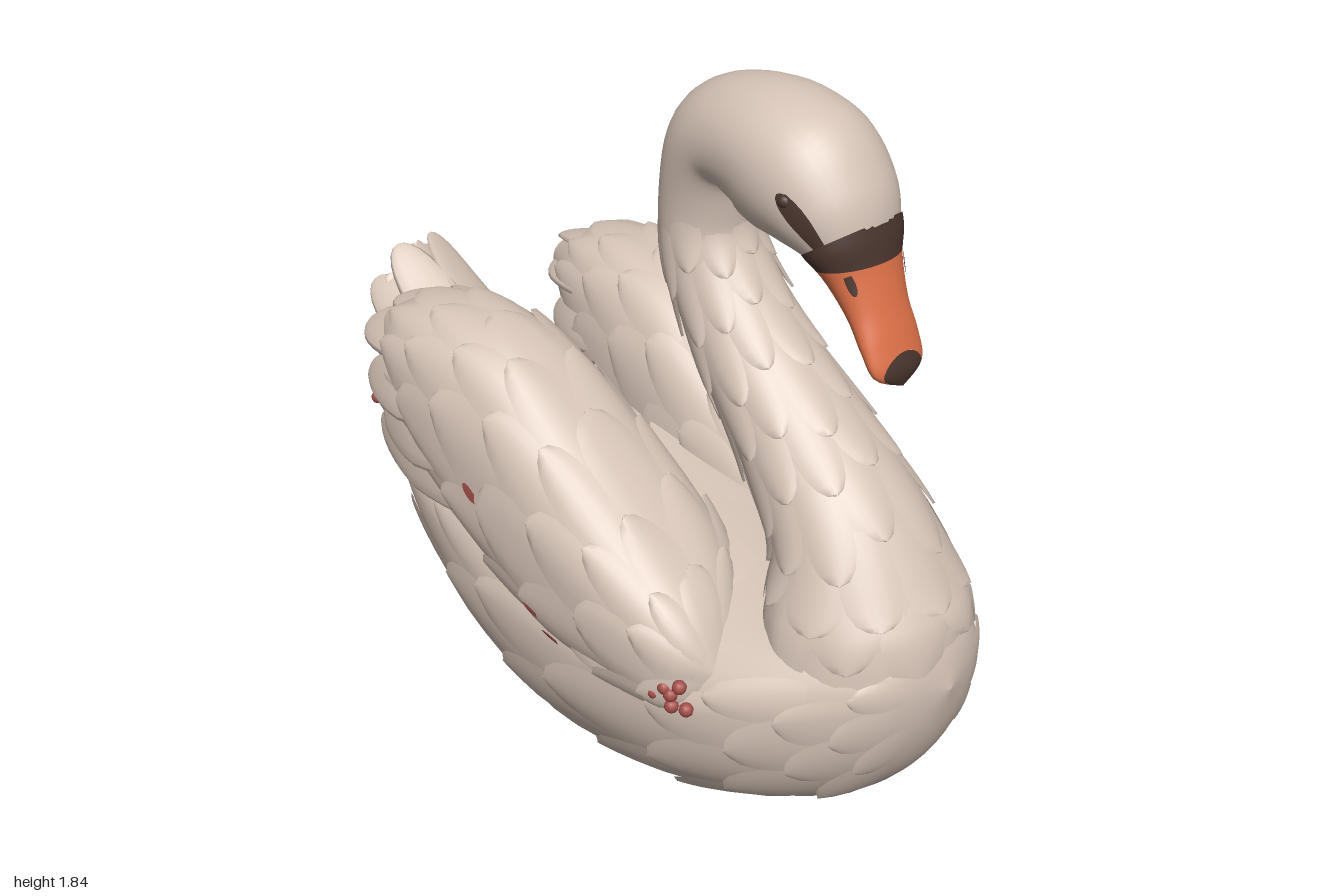
import * as THREE from 'three';
import { mergeGeometries } from 'three/addons/utils/BufferGeometryUtils.js';

const V = (x, y, z) => new THREE.Vector3(x, y, z);
const mat = (name, color) => new THREE.MeshStandardMaterial({ name, color, side: THREE.DoubleSide });

// Cross-sections: z, y, half height above, half height below, half width, x
const BODY = [
  [1.0, .5, 0, 0, 0, 0], [.965, .5, .12, .15, .13, 0], [.9, .48, .19, .26, .215, 0],
  [.78, .45, .23, .35, .31, 0], [.6, .42, .24, .405, .405, 0], [.35, .4, .28, .45, .46, 0],
  [0, .42, .32, .5, .47, 0], [-.3, .48, .3, .455, .435, 0], [-.6, .58, .24, .4, .34, 0],
  [-.8, .69, .17, .32, .22, 0], [-.92, .76, .18, .2, .155, 0], [-.965, .82, .16, .12, .11, 0],
  [-.98, .86, 0, 0, 0, 0],
];
const NECK = [
  [.74, .4, .2, .235, .28, 0], [.7, .62, .17, .265, .265, 0], [.66, .8, .17, .18, .205, 0],
  [.51, .98, .15, .15, .168, 0], [.33, 1.17, .13, .13, .143, 0], [.21, 1.36, .12, .12, .128, 0],
  [.195, 1.51, .12, .12, .128, 0], [.255, 1.65, .145, .115, .145, 0], [.39, 1.69, .15, .18, .166, 0],
  [.5, 1.65, .17, .175, .174, 0], [.59, 1.585, .135, .13, .157, 0], [.65, 1.515, .085, .08, .118, 0],
];
const BEAK = [
  [.605, 1.575, .118, .11, .143, 0], [.64, 1.525, .092, .09, .135, 0], [.67, 1.47, .07, .07, .107, 0],
  [.715, 1.39, .05, .05, .088, 0], [.755, 1.32, .036, .04, .088, 0], [.785, 1.26, .024, .028, .075, 0],
  [.8, 1.225, 0, 0, 0, 0],
];
const WING = [
  [.6, .5, 0, 0, 0, .36], [.52, .5, .13, .14, .12, .33], [.35, .55, .2, .22, .205, .28],
  [.1, .62, .3, .27, .22, .275], [-.12, .72, .345, .27, .21, .28], [-.32, .83, .28, .22, .195, .29],
  [-.5, .92, .17, .14, .155, .3], [-.63, .98, .05, .05, .08, .3],
];

// Smooth interpolation between cross-sections
function sectionAt(rows, t) {
  const f = THREE.MathUtils.clamp(t, 0, 1) * (rows.length - 1);
  const i = Math.min(Math.floor(f), rows.length - 2), k = f - i;
  const [a, b, c, d] = [-1, 0, 1, 2].map(o => rows[THREE.MathUtils.clamp(i + o, 0, rows.length - 1)]);
  return b.map((_, n) => b[n] + .5 * k * (c[n] - a[n] + k * (2 * a[n] - 5 * b[n] + 4 * c[n] - d[n]
    + k * (3 * (b[n] - c[n]) + d[n] - a[n]))));
}

// Surface point at length t and angle a, raised by lift; follow turns sections along the path
function surface(rows, { follow = false, side = 1, power = 1 } = {}) {
  const round = c => Math.sign(c) * Math.abs(c) ** power;
  return (t, a, lift = 0) => {
    const [z, y, up, down, w, x] = sectionAt(rows, t);
    let nz = 0, ny = 1;
    if (follow) {
      const p = sectionAt(rows, t - .02), q = sectionAt(rows, t + .02);
      const l = Math.hypot(q[0] - p[0], q[1] - p[1]);
      nz = -(q[1] - p[1]) / l; ny = (q[0] - p[0]) / l;
    }
    const s = round(Math.sin(a)), h = (Math.max(s > 0 ? up : down, 0) + lift) * s;
    return V(side * (x + (Math.max(w, 0) + lift) * round(Math.cos(a))), Math.max(0, y + ny * h), z + nz * h);
  };
}

// Grid of points fn(u, v), optionally closed around v
function grid(fn, nu, nv, closed = false) {
  const pos = [], index = [], cols = closed ? nv : nv + 1;
  for (let i = 0; i <= nu; i++)
    for (let j = 0; j < cols; j++) pos.push(...fn(i / nu, j / nv).toArray());
  for (let i = 0; i < nu; i++)
    for (let j = 0; j < nv; j++) {
      const a = i * cols + j, b = i * cols + (j + 1) % cols;
      index.push(a, b, a + cols, b, b + cols, a + cols);
    }
  const g = new THREE.BufferGeometry();
  g.setAttribute('position', new THREE.Float32BufferAttribute(pos, 3));
  g.setIndex(index);
  g.computeVertexNormals();
  return g;
}

const loft = (surf, nu = 60, nv = 40) => grid((u, v) => surf(u, v * Math.PI * 2), nu, nv, true);

// Part of a loft between two angles, its ends t0 and t1 varying with the angle
const band = (surf, t0, t1, a0 = 0, a1 = Math.PI * 2) => grid((u, v) => {
  const a = a0 + (a1 - a0) * v;
  return surf(t0(a) + (t1(a) - t0(a)) * u, a);
}, 16, 32);

// Rounded scale that hugs a surface and lifts at its tip
function scale(surf, t0, a0, len, da, lift, base = -.004) {
  return grid((s, v) => {
    const u = Math.sin(s * Math.PI / 2), k = v * 2 - 1;
    const width = da * (.75 + .25 * Math.min(1, u * 2)) * Math.sqrt(Math.max(0, 1 - u ** 4));
    return surf(t0 + len * u, a0 + width * k, base + lift * u * (1 - .35 * k * k));
  }, 7, 6);
}

// Staggered rows of scales
function plumage(surf, { rows, from, step, count, len, lift, keep = () => true }) {
  const out = [];
  for (let r = 0; r < rows; r++)
    for (let i = 0; i < count; i++) {
      const a = (i + (r % 2) / 2) / count * Math.PI * 2 - Math.PI / 2;
      const t = from + step * r + .012 * Math.sin(i * 2.4 + r * 1.7);
      if (keep(a, t)) out.push(scale(surf, t, a, len, Math.PI / count * 1.12, lift));
    }
  return mergeGeometries(out);
}

// Long free feather, a flattened bowed leaf from root a to tip b
function plume(a, b, hint, w, bow = .03, thick = .018) {
  const d = b.clone().sub(a), side = d.clone().cross(hint).normalize();
  const n = side.clone().cross(d).normalize();
  return grid((s, v) => {
    const u = Math.sin(s * Math.PI / 2), q = v * Math.PI * 2;
    const k = Math.min(1, .45 + u * .9) * Math.sqrt(Math.max(0, 1 - u ** 5));
    return a.clone().addScaledVector(d, u).addScaledVector(n, bow * Math.sin(Math.PI * u) + thick * k * Math.sin(q))
      .addScaledVector(side, w * k * Math.cos(q));
  }, 12, 12, true);
}

export function createModel() {
  const model = new THREE.Group();
  const white = mat('warm white plumage', 0xd4c2b5), orange = mat('orange bill', 0xdc7048);
  const dark = mat('dark brown mask', 0x4a352e), red = mat('red berries', 0xa6504a);
  const add = (name, geometry, material) => {
    const m = new THREE.Mesh(geometry, material);
    m.name = name;
    model.add(m);
  };

  // Body with its scales, leaving the flat base smooth
  const body = surface(BODY), neck = surface(NECK, { follow: true }), beak = surface(BEAK, { follow: true });
  add('body', loft(body), white);
  add('bodyFeathers', plumage(body, {
    rows: 11, from: .07, step: .069, count: 14, len: .12, lift: .024,
    keep: (a, t) => Math.sin(a) > -.86 && (t > .34 || Math.sin(a) < .3),
  }), white);

  // Neck and head in one sweep; scales point down the neck
  add('neckAndHead', loft(neck, 72, 36), white);
  add('neckFeathers', plumage(neck, { rows: 9, from: .1, step: .054, count: 10, len: -.1, lift: .018 }), white);

  // Bill: dark base, orange upper, dark underside and nail
  const maskEnd = a => .275 + .055 * Math.sin(a);
  const nailStart = a => .95 - .22 * Math.max(0, Math.sin(a));
  const under = .75;
  add('billBase', band(beak, () => .12, maskEnd), dark);
  add('bill', band(beak, maskEnd, nailStart, -under, Math.PI + under), orange);
  add('billUnderside', band(beak, maskEnd, nailStart, Math.PI + under, Math.PI * 2 - under), dark);
  add('billNail', band(beak, nailStart, () => 1), dark);

  for (const s of [1, -1]) {
    const label = s > 0 ? 'left' : 'right';
    const P = (x, y, z) => V(s * x, y, z);
    const turn = a => s > 0 ? a : Math.PI - a;

    // Eye, the stripe running to it from the bill, and the nostril
    add(label + 'EyeStripe', scale(neck, .97, turn(.24), -.12, .17, .001, .004), dark);
    const e = neck(.865, turn(.24), -.006);
    add(label + 'Eye', new THREE.SphereGeometry(.017, 14, 10).translate(e.x, e.y, e.z), dark);
    add(label + 'Nostril', scale(beak, .33, turn(.55), .09, .14, .001, .003), dark);

    // Folded wing
    const wing = surface(WING, { side: s, power: .8 });
    add(label + 'Wing', loft(wing), white);
    add(label + 'WingFeathers', plumage(wing, {
      rows: 7, from: .03, step: .112, count: 10, len: .2, lift: .024,
    }), white);
    const quills = [
      [[.27, 1.02, -.2], [.29, 1.03, -.66], .09, [.1, 1, 0]],
      [[.36, 1.0, -.2], [.38, .98, -.68], .085, [.6, .8, 0]],
      [[.2, .97, -.2], [.21, .98, -.62], .08, [-.5, .9, 0]],
      [[.42, .9, -.15], [.43, .88, -.62], .085, [1, .4, 0]],
      [[.44, .8, -.1], [.42, .77, -.58], .09, [1, .2, 0]],
      [[.45, .68, -.05], [.36, .68, -.68], .09, [1, .15, 0]],
      [[.45, .56, 0], [.27, .6, -.76], .09, [1, 0, 0]],
      [[.15, .9, -.15], [.15, .88, -.55], .08, [-1, .4, 0]],
    ];
    add(label + 'WingQuills', mergeGeometries(quills.map(([a, b, w, h]) =>
      plume(P(...a), P(...b), P(...h), w, .035))), white);

    // Side feathers of the tail, stacked from the top down
    const tail = [
      [[.1, .76, -.45], [.06, 1.0, -.97], .085, [.4, 1, .3], -.05],
      [[.15, .72, -.45], [.13, .91, -.99], .09, [.8, .8, .2], -.03],
      [[.2, .66, -.45], [.16, .78, -.97], .08, [1, .4, 0], -.01],
      [[.26, .56, -.4], [.18, .64, -.98], .085, [1, .1, 0], .005],
      [[.25, .45, -.45], [.15, .54, -.92], .08, [1, -.5, 0], .03],
      [[.18, .36, -.45], [.1, .43, -.85], .08, [.6, -1, -.4], .02],
    ];
    add(label + 'TailFeathers', mergeGeometries(tail.map(([a, b, w, h, bow]) =>
      plume(P(...a), P(...b), P(...h), w, bow))), white);

    // Berry sprigs on the breast and tail
    const berries = [];
    for (const [x, y, z] of [[.45, .46, .525], [.24, .645, -.8]])
      for (let i = 0; i < 6; i++) {
        const q = i * 2.4, r = .015 * Math.sqrt(i * 2.2);
        const c = P(x - .25 * r * Math.cos(q), y + r * Math.sin(q), z + r * Math.cos(q));
        berries.push(new THREE.SphereGeometry(.018, 10, 8).translate(c.x, c.y, c.z));
      }
    add(label + 'Berries', mergeGeometries(berries), red);

    // Small red leaves scattered across the wing
    const leaves = [[.29, -.85], [.385, -.45], [.42, -.3], [.56, .05]];
    add(label + 'Leaves', mergeGeometries(leaves.map(([t, a]) => scale(wing, t, a, .03, .035, .002, .022))), red);
  }

  // Centre tail feathers
  add('tailCentre', mergeGeometries([
    plume(V(0, .76, -.4), V(0, .97, -1), V(0, 1, .4), .11, -.05),
    plume(V(0, .32, -.4), V(0, .36, -.79), V(0, -1, -.4), .1, .02),
    plume(V(0, .5, -.5), V(0, .52, -.92), V(0, -1, -.4), .1, .02),
  ]), white);
  return model;
}
